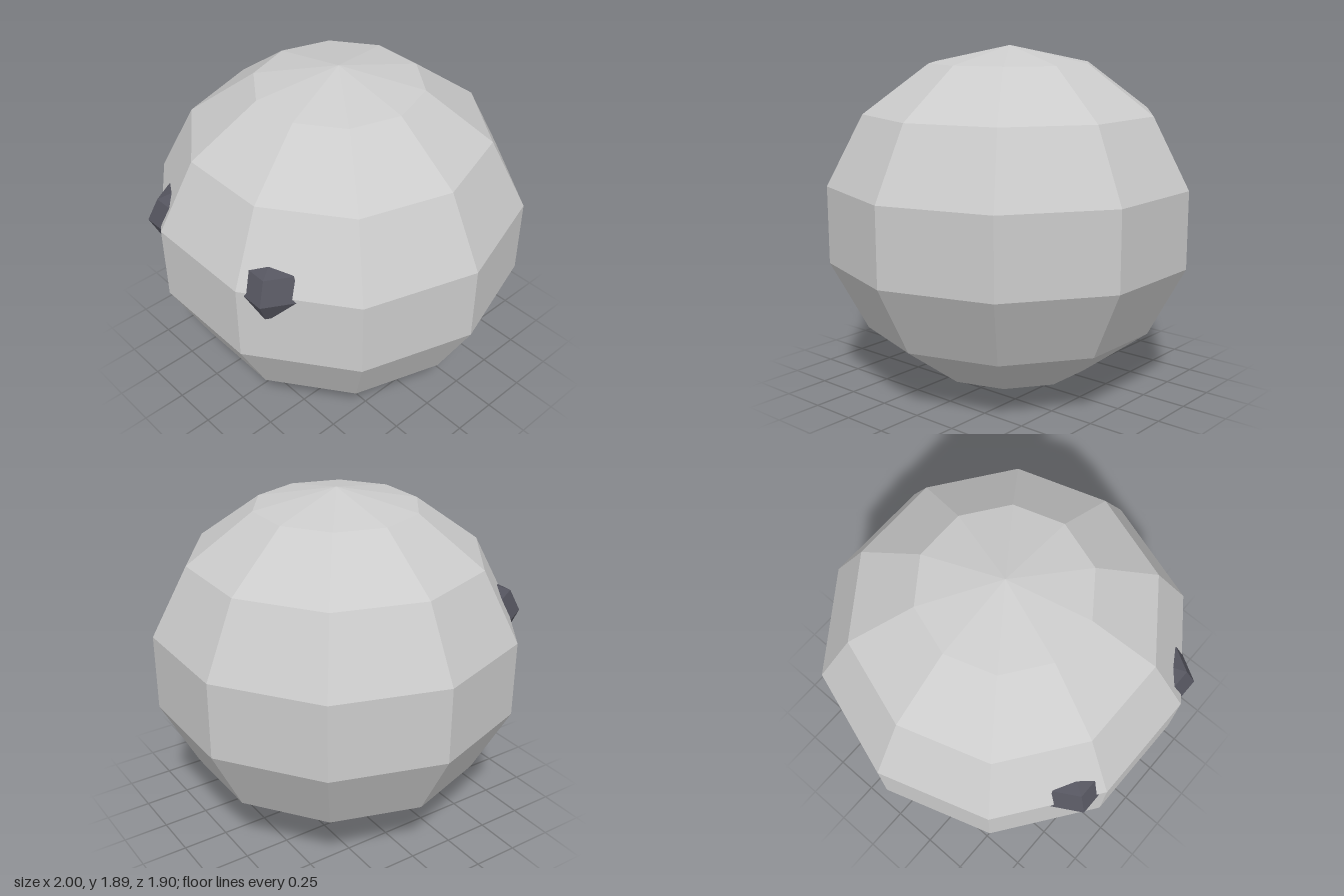
import * as THREE from 'three';

export function createModel() {
  const group = new THREE.Group();
  const bodyMaterial = new THREE.MeshStandardMaterial({ color: 0xcccccc, flatShading: true });
  const eyeMaterial = new THREE.MeshStandardMaterial({ color: 0x55555f, flatShading: true });

  // Faceted, slightly squashed ball
  function ball(name, radius, height, sides, rings, material) {
    const geometry = new THREE.SphereGeometry(radius, sides, rings);
    geometry.scale(1, height / (2 * radius), 1);
    const mesh = new THREE.Mesh(geometry, material);
    mesh.name = name;
    group.add(mesh);
    return mesh;
  }

  // Body: widest rings reach exactly x = +-1
  const bodyHeight = 1.885;
  const body = ball('body', 1 / Math.sin((3 * Math.PI) / 7), bodyHeight, 10, 7, bodyMaterial);
  body.position.y = bodyHeight / 2;

  // Eyes: half sunk into the front of the body
  for (const side of [1, -1]) {
    const eye = ball(side > 0 ? 'leftEye' : 'rightEye', 0.205, 0.345, 6, 4, eyeMaterial);
    eye.position.set(side * 0.36, 1.133, 0.75);
  }

  return group;
}
